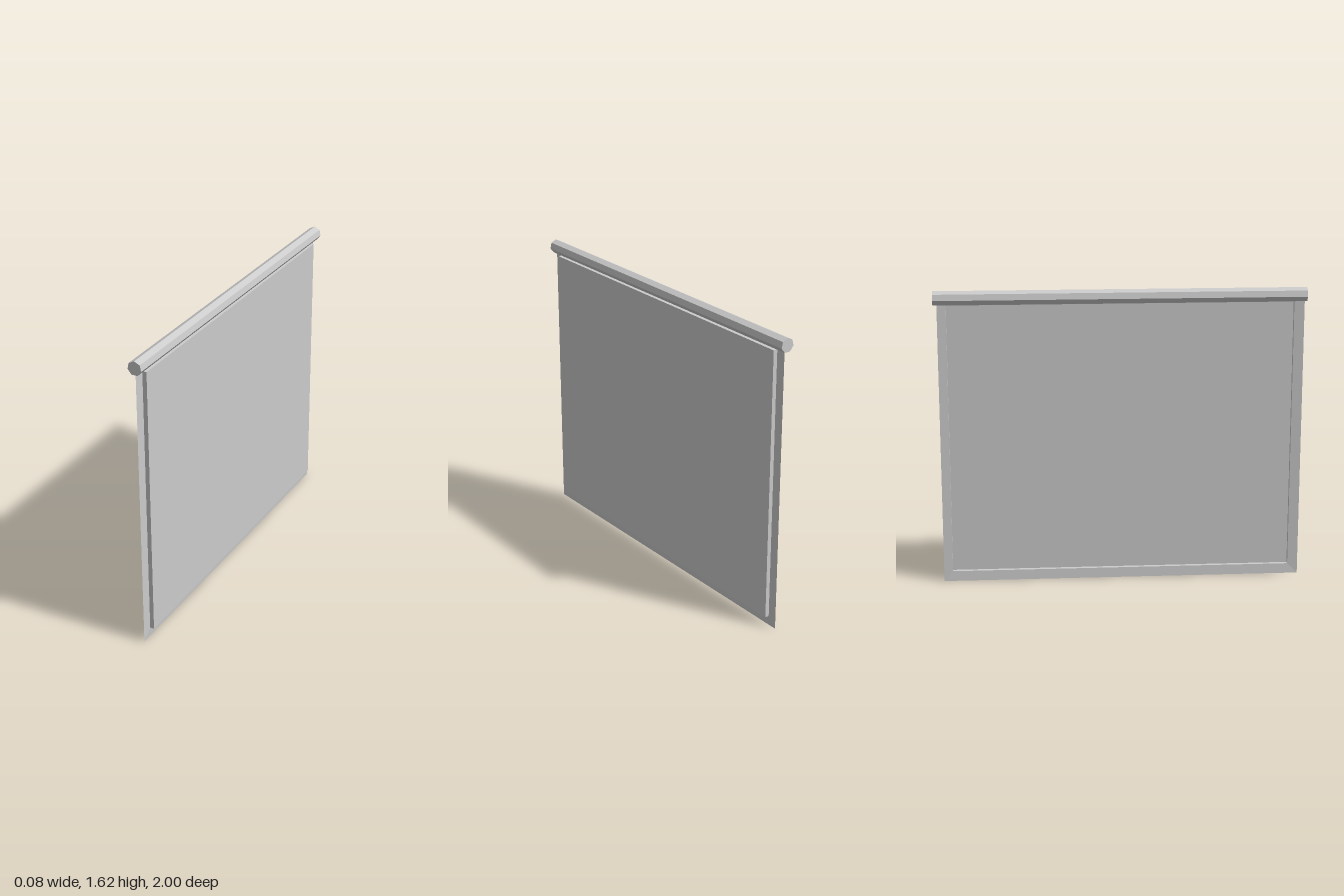
import * as THREE from 'three';

const material = new THREE.MeshStandardMaterial({
  color: 0xcccccc, flatShading: true, side: THREE.DoubleSide,
});

// Rectangular loop in the plane of the screen, anticlockwise seen from +x
const loop = (x, z0, z1, y0, y1) => [[x, y0, z1], [x, y0, z0], [x, y1, z0], [x, y1, z1]];

// Joins successive four-cornered loops and closes the last one
function loftLoops(loops) {
  const index = [];
  for (let i = 0; i < loops.length - 1; i++) {
    for (let j = 0; j < 4; j++) {
      const a = i * 4 + j, b = i * 4 + (j + 1) % 4;
      index.push(a, b, b + 4, a, b + 4, a + 4);
    }
  }
  const c = (loops.length - 1) * 4;
  index.push(c, c + 1, c + 2, c, c + 2, c + 3);
  const geometry = new THREE.BufferGeometry();
  geometry.setAttribute('position', new THREE.Float32BufferAttribute(loops.flat(2), 3));
  geometry.setIndex(index);
  const flat = geometry.toNonIndexed();
  flat.computeVertexNormals();
  return flat;
}

export function createModel() {
  const group = new THREE.Group();
  group.name = 'rollerScreen';

  // Seven-sided housing with one ridge along its top
  const housing = new THREE.Mesh(
    new THREE.CylinderGeometry(0.0385, 0.0385, 2, 7).rotateX(-Math.PI / 2), material);
  housing.name = 'rollerHousing';
  housing.position.y = 1.58;
  group.add(housing);

  // Thin sheet: flat border, then a panel pressed out towards +x, open behind
  const sheet = new THREE.Mesh(loftLoops([
    loop(0, -0.98, 0.99, 0, 1.55),
    loop(0.004, -0.932, 0.935, 0.055, 1.54),
    loop(0.027, -0.932, 0.935, 0.055, 1.54),
  ]), material);
  sheet.name = 'screenSheet';
  group.add(sheet);

  return group;
}
